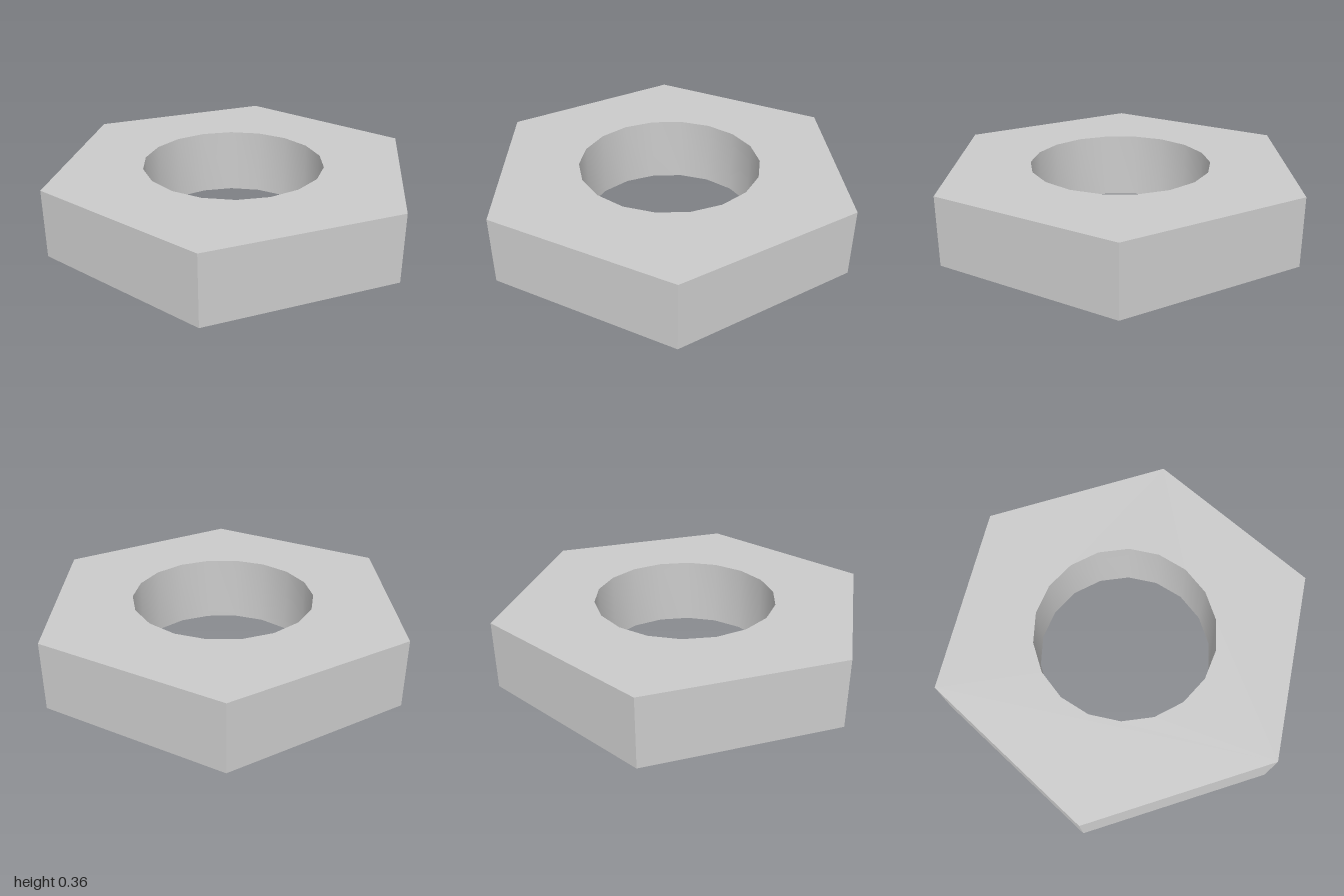
import * as THREE from 'three';
import { toCreasedNormals } from 'three/addons/utils/BufferGeometryUtils.js';

const HEIGHT = 0.36;

// Corner points of a regular polygon
function polygon(sides, radius, start = 0) {
  return Array.from({ length: sides }, (_, i) => {
    const a = start + (i / sides) * Math.PI * 2;
    return new THREE.Vector2(Math.cos(a) * radius, Math.sin(a) * radius);
  });
}

export function createModel() {
  const group = new THREE.Group();
  group.name = 'hexNut';

  // Hexagonal body, points towards front and back, with an 18-sided bore
  const shape = new THREE.Shape(polygon(6, 1, Math.PI / 2));
  shape.holes.push(new THREE.Path(polygon(18, 0.475)));
  const extruded = new THREE.ExtrudeGeometry(shape, { depth: HEIGHT, bevelEnabled: false });
  extruded.rotateX(-Math.PI / 2);

  // Smooth bore wall, sharp outer corners and rims
  const geometry = toCreasedNormals(extruded, Math.PI / 6);
  const nut = new THREE.Mesh(geometry, new THREE.MeshStandardMaterial({ color: 0xcccccc }));
  nut.name = 'nutBody';
  group.add(nut);

  return group;
}
